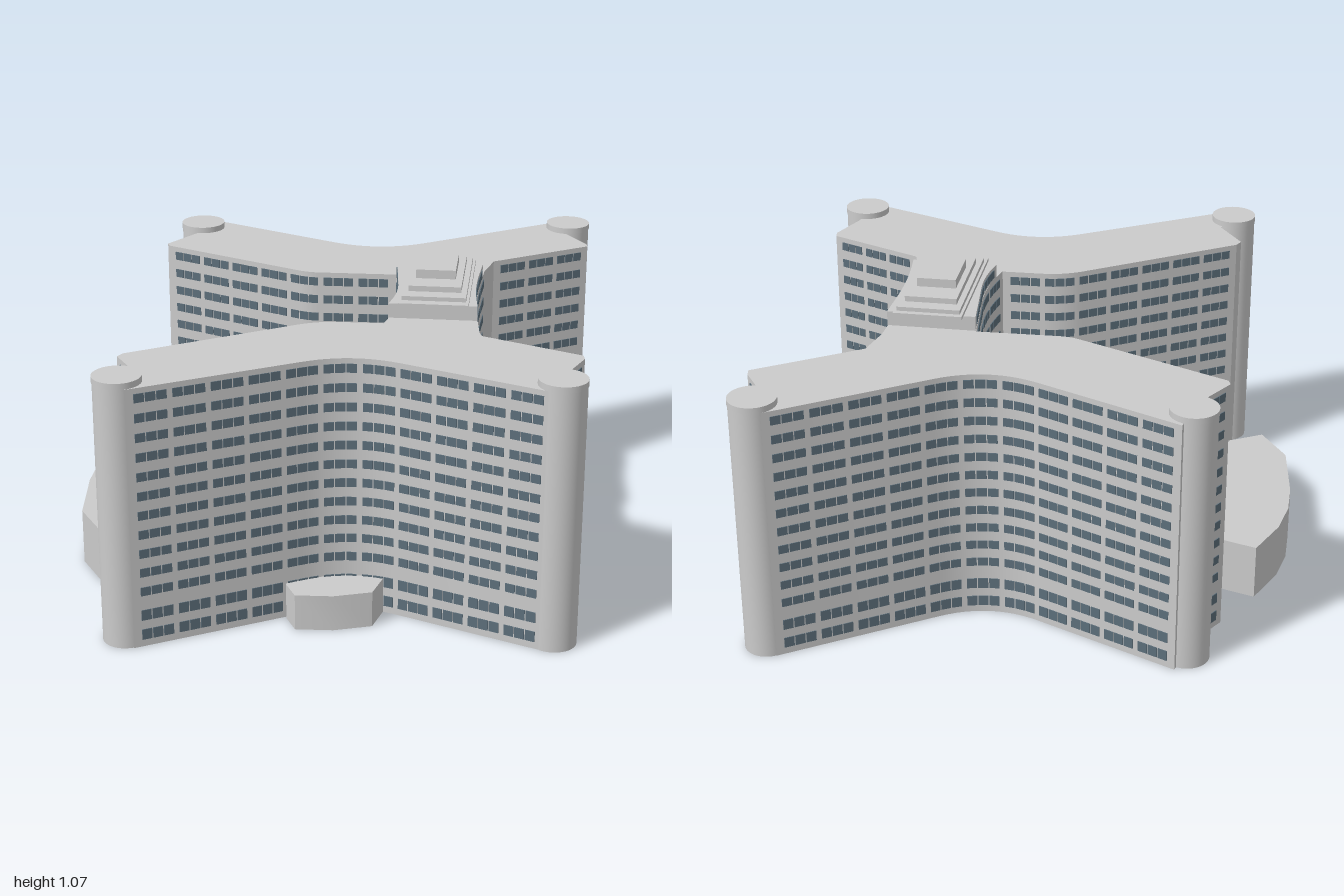
import * as THREE from 'three';
import { mergeGeometries, toCreasedNormals } from 'three/addons/utils/BufferGeometryUtils.js';

const ROOF = 0.935;
const wallMat = new THREE.MeshStandardMaterial({ color: 0xcccccc });
const glassMat = new THREE.MeshStandardMaterial({ color: 0x5c6e7a });

// Plan points are [x, z, r]; a point with r becomes a curve starting r before it and ending r after it.
function roundPath(pts) {
  const out = [];
  pts.forEach(([x, z, r], i) => {
    const p = new THREE.Vector2(x, z);
    if (!r) { out.push(p); return; }
    const toward = (q) => p.clone().add(new THREE.Vector2(q[0] - x, q[1] - z).setLength(r));
    const bend = new THREE.QuadraticBezierCurve(toward(pts[i - 1]), p, toward(pts[i + 1]));
    out.push(...bend.getPoints(12));
  });
  return out;
}

// Vertical prism over a plan outline
function prism(name, plan, y0, y1) {
  const shape = new THREE.Shape(plan.map((p) => new THREE.Vector2(p.x, -p.y)));
  const geo = new THREE.ExtrudeGeometry(shape, { depth: y1 - y0, bevelEnabled: false });
  geo.rotateX(-Math.PI / 2).translate(0, y0, 0);
  const mesh = new THREE.Mesh(toCreasedNormals(geo, 0.4), wallMat);
  mesh.name = name;
  return mesh;
}

function box(name, x0, x1, y0, y1, z0, z1) {
  const mesh = new THREE.Mesh(new THREE.BoxGeometry(x1 - x0, y1 - y0, z1 - z0), wallMat);
  mesh.position.set((x0 + x1) / 2, (y0 + y1) / 2, (z0 + z1) / 2);
  mesh.name = name;
  return mesh;
}

function cylinder(name, x, z, r, y0, y1, sides) {
  const mesh = new THREE.Mesh(new THREE.CylinderGeometry(r, r, y1 - y0, sides), wallMat);
  mesh.position.set(x, (y0 + y1) / 2, z);
  mesh.name = name;
  return mesh;
}

// Rows of window panes, in groups of three, following a wall line
function windows(name, path, rows, margin = 0.02) {
  const lengths = [0];
  for (let i = 1; i < path.length; i++) lengths.push(lengths[i - 1] + path[i].distanceTo(path[i - 1]));
  const total = lengths[lengths.length - 1];
  const at = (s) => {
    let i = 1;
    while (i < path.length - 1 && lengths[i] < s) i++;
    return path[i - 1].clone().lerp(path[i], (s - lengths[i - 1]) / (lengths[i] - lengths[i - 1]));
  };
  const span = total - 2 * margin;
  const groups = Math.max(1, Math.round(span / 0.13));
  const pitch = span / groups;
  const paneWidth = (pitch - 0.016) / 3;
  const panes = [];
  for (let g = 0; g < groups; g++) {
    for (let k = 0; k < 3; k++) {
      const s = margin + g * pitch + 0.008 + k * paneWidth;
      const a = at(s + 0.002), b = at(s + paneWidth - 0.002);
      const angle = -Math.atan2(b.y - a.y, b.x - a.x);
      for (const [y, h] of rows) {
        const pane = new THREE.BoxGeometry(a.distanceTo(b), h, 0.006);
        panes.push(pane.rotateY(angle).translate((a.x + b.x) / 2, y, (a.y + b.y) / 2));
      }
    }
  }
  const mesh = new THREE.Mesh(mergeGeometries(panes), glassMat);
  mesh.name = name;
  return mesh;
}

export function createModel() {
  const model = new THREE.Group();
  model.name = 'building';

  // Walls in order around the plan; together they form the outline
  const walls = {
    southOuter: [[-0.57, 0.975], [0.119, 0.571, 0.18], [0.795, 0.84]],
    southEastEnd: [[0.84, 0.665], [0.895, 0.53]],
    southEastInner: [[0.89, 0.50], [0.545, 0.35]],
    neckEast: [[0.535, 0.32], [0.5, 0, 0.2], [0.52, -0.34]],
    northEastInner: [[0.55, -0.465], [0.90, -0.69]],
    northEastEnd: [[0.895, -0.72], [0.80, -0.865]],
    northOuter: [[0.775, -0.99], [0.1075, -0.55, 0.2], [-0.58, -0.865]],
    northWestEnd: [[-0.62, -0.69], [-0.71, -0.545]],
    northWestInner: [[-0.70, -0.52], [-0.13, -0.262, 0.04], [0.198, -0.27]],
    neckWest: [[0.2, -0.268], [0.236, 0.08, 0.12], [0.2, 0.258]],
    southWestInner: [[0.198, 0.26], [-0.03, 0.265, 0.08], [-0.64, 0.65]],
    southWestEnd: [[-0.655, 0.68], [-0.57, 0.81]],
  };
  const paths = Object.entries(walls).map(([name, pts]) => [name, roundPath(pts)]);
  model.add(prism('mainBlock', paths.flatMap(([, path]) => path), 0, ROOF));

  // Eleven regular floors over two taller ones
  const rows = [[0.117, 0.038], [0.045, 0.038]];
  for (let i = 0; i < 11; i++) rows.push([0.9 - i * 0.0695, 0.031]);
  for (const [name, path] of paths) model.add(windows(name + 'Windows', path, rows));

  // Round stair towers at the wing tips, each with a cap
  const towers = [[-0.61, 0.9], [0.827, 0.768], [0.822, -0.922], [-0.61, -0.772]];
  for (const [x, z] of towers) {
    model.add(cylinder('stairTower', x, z, 0.081, 0, ROOF, 40));
    model.add(cylinder('towerCap', x, z, 0.083, ROOF, 0.957, 40));
  }

  // Stepped penthouse over the neck
  const pentEast = roundPath([[0.521, 0.2], [0.5, 0, 0.14], [0.517, -0.265]]);
  const pentWest = roundPath([[0.202, -0.265], [0.236, 0.08, 0.1], [0.21, 0.2]]);
  model.add(prism('penthouse', [...pentEast, ...pentWest], ROOF, 0.988));
  model.add(windows('penthouseEastWindows', pentEast, [[0.962, 0.03]]));
  model.add(windows('penthouseWestWindows', pentWest, [[0.962, 0.03]]));
  model.add(box('penthouseSlab', 0.245, 0.49, 0.988, 1.0, -0.3, 0.23));
  model.add(box('penthouseStep', 0.255, 0.48, 1.0, 1.015, -0.28, 0.195));
  model.add(box('penthouseStep', 0.275, 0.46, 1.015, 1.035, -0.23, 0.14));
  model.add(box('penthouseTop', 0.295, 0.435, 1.035, 1.067, -0.14, 0.055));

  // Fan-shaped hall on the west side
  const hall = [[-0.815, -0.36], [-0.885, -0.2], [-0.912, -0.06], [-0.912, 0.08], [-0.88, 0.35],
    [-0.78, 0.505], [-0.225, 0.195], [-0.21, 0.17], [-0.21, -0.155], [-0.217, -0.172]];
  model.add(prism('hall', roundPath(hall), 0, 0.203));

  // Low porch against the south wall
  const porch = [[-0.09, 0.68], [-0.09, 0.705], [-0.05, 0.782], [0.08, 0.775], [0.21, 0.73], [0.24, 0.61], [0.1, 0.6]];
  model.add(prism('porch', roundPath(porch), 0, 0.13));

  // Entrance terrace, canopy and columns on the east side
  const terrace = [[0.49, 0.23], [0.66, 0.23], [0.603, -0.03, 0.2], [0.655, -0.29], [0.49, -0.29]];
  model.add(prism('entranceTerrace', roundPath(terrace), 0, 0.006));
  const canopy = [[0.49, 0.195], [0.608, 0.195], [0.56, -0.03, 0.18], [0.605, -0.245], [0.49, -0.245]];
  model.add(prism('entranceCanopy', roundPath(canopy), 0.157, 0.18));
  for (const [x, z] of [[0.59, 0.175], [0.57, 0.055], [0.57, -0.09], [0.587, -0.22]]) {
    model.add(cylinder('canopyColumn', x, z, 0.01, 0, 0.157, 16));
  }
  return model;
}
